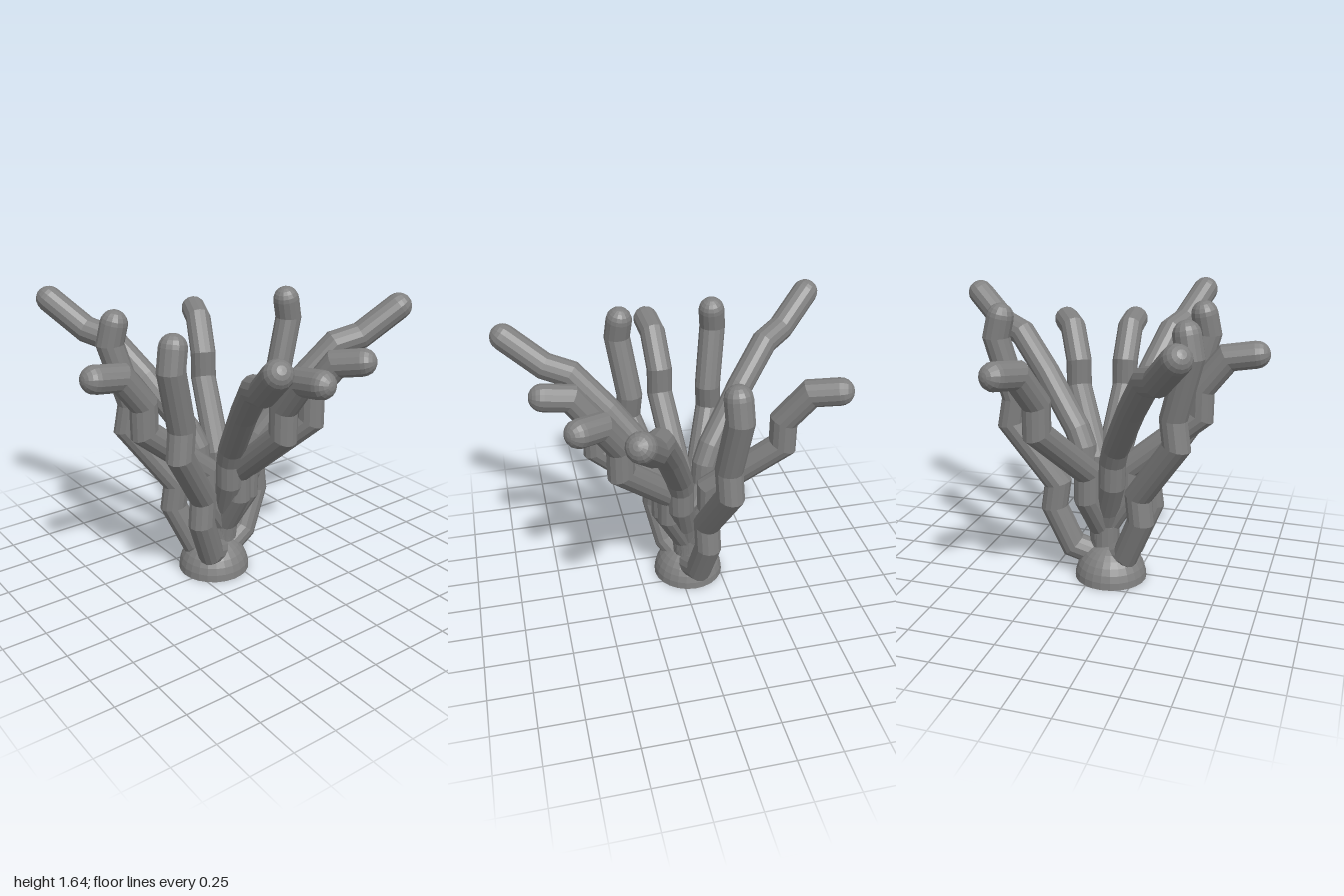
import * as THREE from 'three';

const RADIUS = 0.077;
const SIDES = 14;
const CENTRE = { x: -0.045, z: -0.035 };

// Branch profiles: [distance from the centre, height], ending at the round tip.
const PROFILES = {
  long: [[0, 0.2], [0.01, 0.32], [0.05, 0.43], [0.15, 0.62], [0.16, 0.76], [0.21, 0.86], [0.46, 1.16], [0.66, 1.365], [0.81, 1.405], [1.03, 1.565]],
  middle: [[0, 0.2], [0.01, 0.30], [0.14, 0.52], [0.14, 0.68], [0.535, 1.02], [0.535, 1.18], [0.67, 1.36], [0.82, 1.385]],
  short: [[-0.01, 0.1], [0.17, 0.175], [0.275, 0.42], [0.255, 0.57], [0.505, 0.93], [0.48, 1.08], [0.575, 1.43], [0.55, 1.545]],
};

// Tip positions [profile, x, z] seen from above.
const BRANCHES = [
  ['long', 0.88, 0.39], ['long', -0.655, -0.92], ['long', -0.42, 0.92],
  ['middle', 0.28, -0.81], ['middle', 0.40, 0.62], ['middle', -0.01, 0.76], ['middle', -0.88, 0.03],
  ['short', 0.515, -0.17], ['short', -0.55, 0.25], ['short', -0.57, -0.31],
];

const material = () => new THREE.MeshStandardMaterial({ color: 0x808080, flatShading: true });

// Tube along a planar path with mitred bends and a hemispherical end.
function branchGeometry(points) {
  const p = points.map(([r, y]) => new THREE.Vector2(r, y));
  const dirs = p.slice(1).map((q, i) => q.clone().sub(p[i]).normalize());
  const rings = p.map((c, i) => {
    const a = dirs[Math.max(i - 1, 0)];
    const b = dirs[Math.min(i, dirs.length - 1)];
    const t = a.clone().add(b).normalize();
    return { c, t, inPlane: RADIUS / t.dot(a), across: RADIUS };
  });
  const t = dirs[dirs.length - 1];
  const end = p[p.length - 1];
  for (let k = 1; k <= 5; k++) {
    const a = (k / 5) * Math.PI / 2;
    const r = RADIUS * Math.max(Math.cos(a), 0.001);
    rings.push({ c: end.clone().addScaledVector(t, RADIUS * Math.sin(a)), t, inPlane: r, across: r });
  }

  const position = [];
  const index = [];
  rings.forEach(({ c, t: d, inPlane, across }, i) => {
    for (let j = 0; j < SIDES; j++) {
      const a = (j / SIDES) * Math.PI * 2;
      const n = Math.cos(a) * inPlane;
      position.push(c.x - d.y * n, c.y + d.x * n, Math.sin(a) * across);
      if (i === rings.length - 1) continue;
      const k = (j + 1) % SIDES;
      const q = [i * SIDES + j, i * SIDES + k, (i + 1) * SIDES + k, (i + 1) * SIDES + j];
      index.push(q[0], q[1], q[2], q[0], q[2], q[3]);
    }
  });
  const g = new THREE.BufferGeometry();
  g.setAttribute('position', new THREE.Float32BufferAttribute(position, 3));
  g.setIndex(index);
  g.computeVertexNormals();
  return g;
}

export function createModel() {
  const model = new THREE.Group();
  model.name = 'branchingCoral';

  // Domed foot with a flat underside
  const foot = new THREE.Group();
  foot.name = 'foot';
  foot.position.set(-0.1, 0, -0.06);
  const dome = new THREE.Mesh(new THREE.SphereGeometry(0.212, 24, 8, 0, Math.PI * 2, 0, Math.PI / 2), material());
  dome.name = 'dome';
  const underside = new THREE.Mesh(new THREE.CircleGeometry(0.212, 24), material());
  underside.name = 'underside';
  underside.rotation.x = Math.PI / 2;
  foot.add(dome, underside);
  model.add(foot);

  // Short central stem the inner branches grow from
  const stem = new THREE.Mesh(new THREE.CylinderGeometry(0.08, 0.08, 0.24, SIDES), material());
  stem.name = 'stem';
  stem.position.set(-0.062, 0.2, -0.045);
  model.add(stem);

  // Branches fanned around the centre, each stretched to reach its tip
  BRANCHES.forEach(([type, x, z]) => {
    const dx = x - CENTRE.x;
    const dz = z - CENTRE.z;
    const profile = PROFILES[type];
    const stretch = Math.hypot(dx, dz) / profile[profile.length - 1][0];
    const branch = new THREE.Mesh(branchGeometry(profile.map(([r, y]) => [r * stretch, y])), material());
    branch.name = `${type}Branch`;
    branch.position.set(CENTRE.x, 0, CENTRE.z);
    branch.rotation.y = -Math.atan2(dz, dx);
    model.add(branch);
  });

  return model;
}
